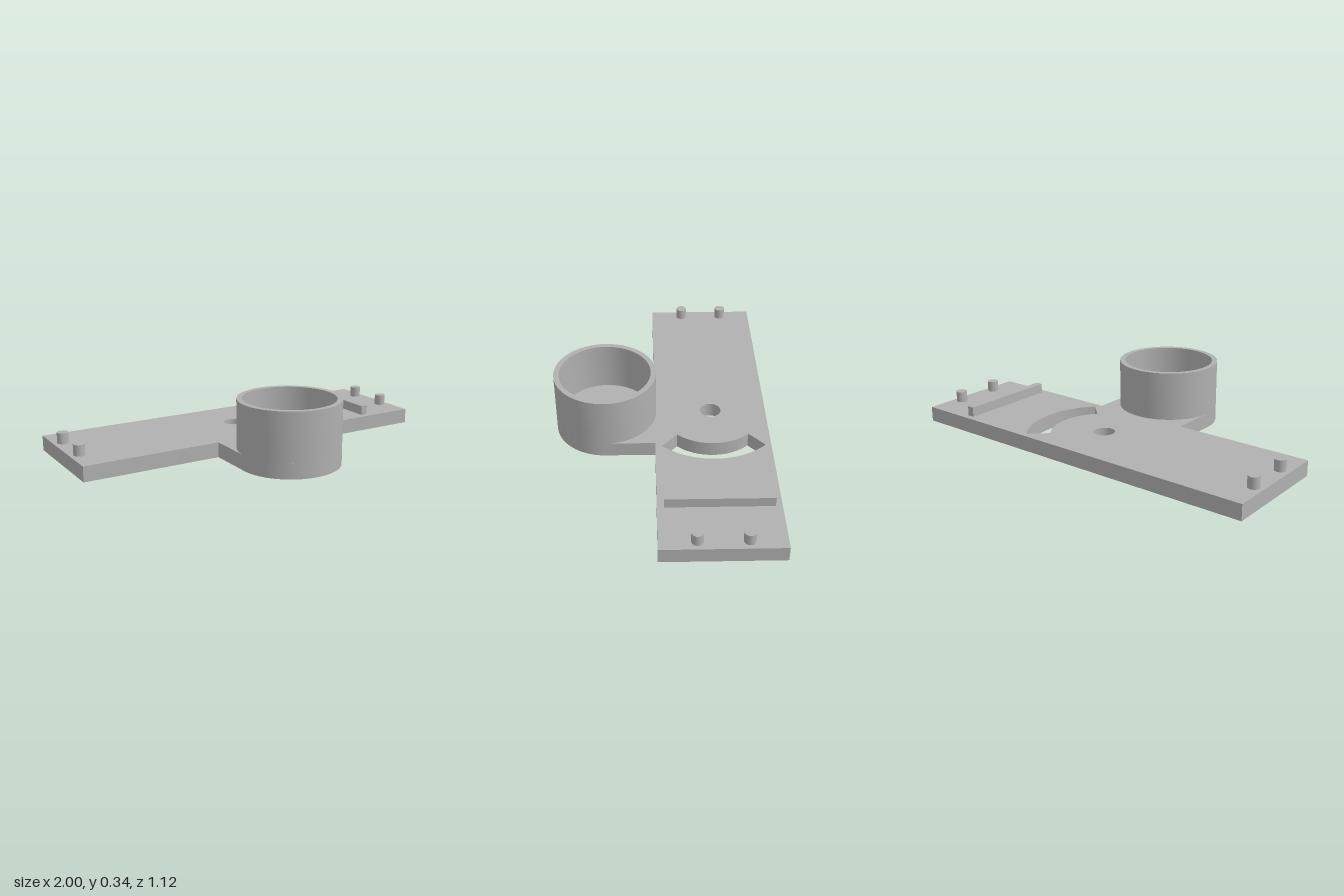
import * as THREE from 'three';
import { toCreasedNormals } from 'three/addons/utils/BufferGeometryUtils.js';

export function createModel() {
  const model = new THREE.Group();
  model.name = 'mountingPlate';
  const grey = new THREE.MeshStandardMaterial({ color: 0xb0b0b0 });
  grey.name = 'plain grey';

  const THICK = 0.08, BACK = -0.56, FRONT = 0.035;
  const CUP_R = 0.267, CUP_INNER = 0.239, CUP_Z = 0.293, CUP_TOP = 0.337;
  const PIVOT_Z = -0.265;

  const add = (name, geometry, x = 0, y = 0, z = 0) => {
    const mesh = new THREE.Mesh(geometry, grey);
    mesh.name = name;
    mesh.position.set(x, y, z);
    model.add(mesh);
  };

  // Base plate with rounded tongue; the shape's y is -z
  const outline = new THREE.Shape();
  outline.moveTo(-1, -FRONT);
  outline.lineTo(-CUP_R, -FRONT);
  outline.lineTo(-CUP_R, -CUP_Z);
  outline.absarc(0, -CUP_Z, CUP_R, Math.PI, 2 * Math.PI, false);
  outline.lineTo(CUP_R, -FRONT);
  outline.lineTo(1, -FRONT);
  outline.lineTo(1, -BACK);
  outline.lineTo(-1, -BACK);
  outline.closePath();

  // Pivot hole and the curved slot around it
  const hole = new THREE.Path();
  hole.absarc(0, -PIVOT_Z, 0.055, 0, 2 * Math.PI, true);
  const slot = new THREE.Path();
  const sweep = THREE.MathUtils.degToRad(42.5);
  slot.absarc(0, -PIVOT_Z, 0.394, -sweep, sweep, false);
  slot.absarc(0, -PIVOT_Z, 0.274, sweep, -sweep, true);
  slot.closePath();
  outline.holes.push(hole, slot);

  const base = new THREE.ExtrudeGeometry(outline, { depth: THICK, bevelEnabled: false, curveSegments: 32 });
  base.rotateX(-Math.PI / 2);
  add('basePlate', toCreasedNormals(base, 0.5));

  // Cup wall, standing on the tongue that forms its floor
  const wall = new THREE.LatheGeometry([
    new THREE.Vector2(CUP_R, THICK),
    new THREE.Vector2(CUP_R, CUP_TOP),
    new THREE.Vector2(CUP_INNER, CUP_TOP),
    new THREE.Vector2(CUP_INNER, THICK),
  ], 64);
  add('cupWall', toCreasedNormals(wall, 0.5), 0, 0, CUP_Z);

  // Raised rib
  add('rib', new THREE.BoxGeometry(0.038, 0.052, 0.528), 0.715, THICK + 0.026, -0.263);

  // Locating pins, two at each end
  const pin = new THREE.CylinderGeometry(0.029, 0.029, 0.058, 32);
  for (const x of [-0.95, 0.95])
    for (const z of [-0.383, -0.145])
      add(x > 0 ? 'leftPin' : 'rightPin', pin, x, THICK + 0.029, z);

  return model;
}
